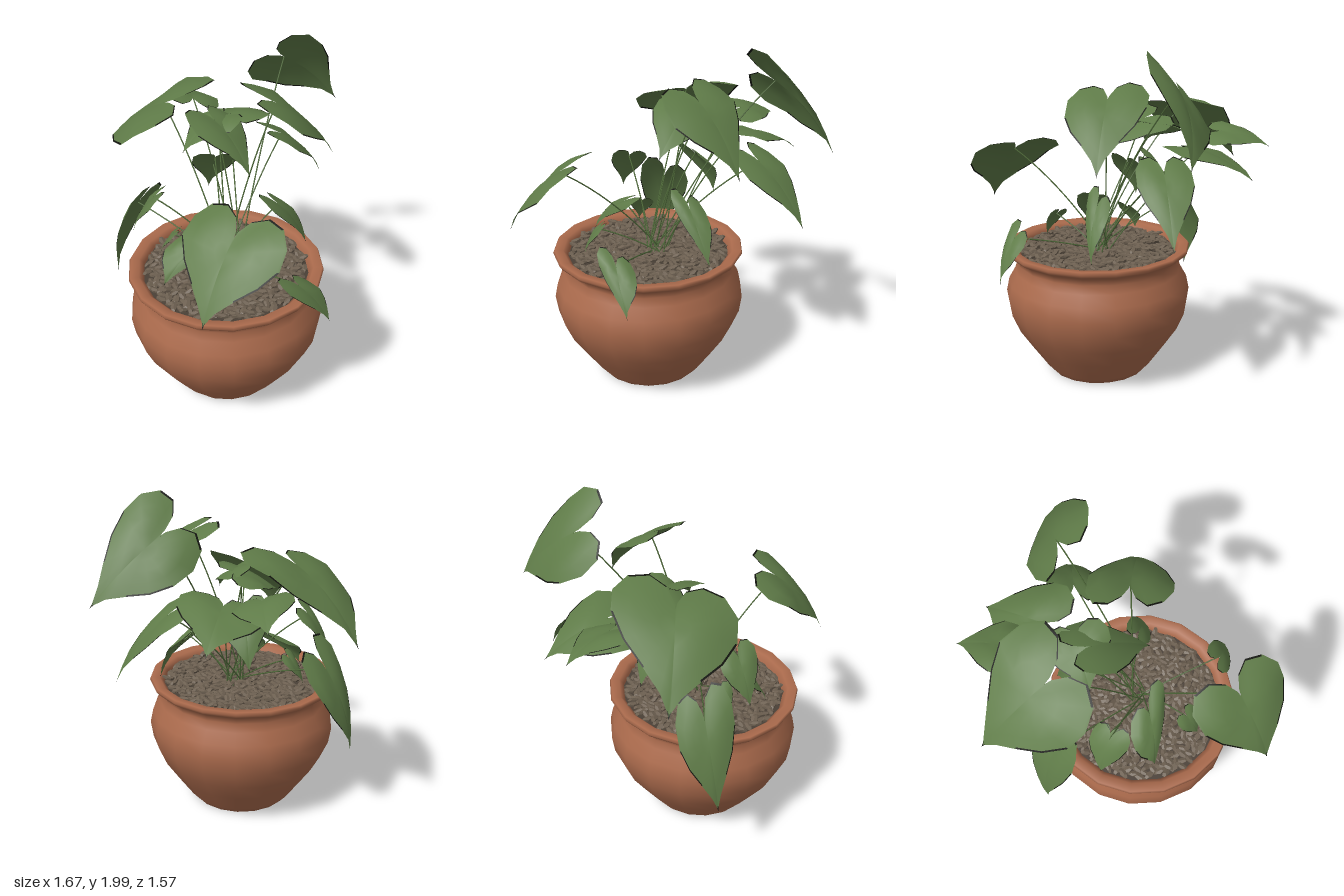
import * as THREE from 'three';
import { mergeGeometries } from 'three/addons/utils/BufferGeometryUtils.js';

const V = (a) => new THREE.Vector3(...a);
const POT = [0.107, 0, 0.222];

function seeded(seed) {
  return () => {
    seed = (seed * 16807) % 2147483647;
    return seed / 2147483647;
  };
}

// Heart outline: across (u) from -1 to 1, along (v) with notch at 0 and tip at 1
const OUTLINE = Array.from({ length: 22 }, (_, i) => {
  const t = i / 22 * Math.PI * 2;
  const y = 13 * Math.cos(t) - 5 * Math.cos(2 * t) - 2 * Math.cos(3 * t) - Math.cos(4 * t);
  return [Math.sin(t) ** 3, (5 - y) / 22];
});

// Heart leaf from notch to tip; side is the half width vector.
// Group 0 is the blade, group 1 the withered patches along its edge.
function leafGeometry(notch, tip, side) {
  const along = tip.clone().sub(notch);
  const normal = along.clone().cross(side).normalize();
  const flipped = normal.y > 0;
  if (!flipped) normal.negate();
  const len = along.length(), wid = side.length();
  const pos = [], blade = [], edge = [], n = OUTLINE.length;
  const rings = [0.25, 0.5, 0.75, 0.98, 1.015];
  const add = (u, v) => {
    const lift = len * 0.3 * v * (1 - v) - wid * 0.2 * u * u
      + wid * 0.1 * Math.abs(u) + wid * 0.08 * Math.sin(6 * v + 3 * u) * u;
    const p = notch.clone().addScaledVector(along, v).addScaledVector(side, u).addScaledVector(normal, lift);
    pos.push(p.x, p.y, p.z);
  };
  add(0, 0.2);
  for (const r of rings) {
    for (const [u, v] of OUTLINE) add(u * r, 0.2 + (v - 0.2) * r);
  }
  for (let i = 0; i < n; i++) {
    const j = (i + 1) % n;
    blade.push(0, 1 + i, 1 + j);
    for (let r = 0; r < rings.length - 1; r++) {
      const a = 1 + r * n + i, b = 1 + r * n + j;
      const withered = r === rings.length - 2 && i % 4 > 1;
      (withered ? edge : blade).push(a, a + n, b + n, a, b + n, b);
    }
  }
  // Keep the front of every face on the upper side
  if (flipped) {
    blade.reverse();
    edge.reverse();
  }
  const g = new THREE.BufferGeometry();
  g.setAttribute('position', new THREE.Float32BufferAttribute(pos, 3));
  g.setIndex([...blade, ...edge]);
  g.addGroup(0, blade.length, 0);
  g.addGroup(blade.length, edge.length, 1);
  g.computeVertexNormals();
  return g;
}

// Grown leaves: notch, tip, half width vector
const LEAVES = [
  [[-0.21, 1.79, -0.41], [-0.17, 1.45, -0.78], [0.17, 0.17, -0.07]],
  [[0.11, 1.71, -0.12], [0.23, 1.36, -0.43], [0.22, -0.02, 0.05]],
  [[-0.15, 1.57, 0.11], [0.17, 1.36, 0.1], [0.05, 0.04, 0.17]],
  [[-0.42, 1.61, 0.27], [-0.81, 1.26, 0.41], [0.1, -0.07, 0.3]],
  [[0.57, 1.35, 0.48], [0.69, 1.0, 0.75], [0.26, 0, -0.1]],
  [[-0.38, 1.43, -0.14], [-0.65, 1.28, -0.36], [0.16, 0.04, -0.18]],
  [[-0.15, 1.34, -0.36], [-0.13, 1.0, -0.65], [0.15, 0, 0.03]],
  [[-0.58, 1.5, -0.02], [-0.83, 1.42, -0.12], [-0.07, 0.04, 0.14]],
  [[-0.46, 1.0, 0.46], [-0.55, 0.5, 0.59], [0.09, 0.06, 0.12]],
  [[0.62, 0.9, 0.09], [0.72, 0.67, -0.04], [0.02, 0.04, 0.11]],
  [[0.11, 1.04, 0.39], [0.09, 0.81, 0.62], [0.12, 0.05, -0.12]],
  [[-0.21, 1.54, 0.05], [-0.2, 1.4, 0.29], [0.17, 0.03, 0]],
  [[0.17, 1.11, -0.1], [0.23, 0.82, -0.26], [0.04, 0.04, 0.09]],
].map((leaf) => leaf.map(V));

// Young leaves: notch and size, each hanging outward from the middle of the plant
const YOUNG = [
  [[-0.15, 1.22, 0.52], 0.23],
  [[-0.2, 1.3, 0.08], 0.28],
  [[0.33, 0.94, 0.42], 0.15],
  [[-0.13, 0.95, 0.42], 0.15],
].map(([at, size]) => {
  const notch = V(at);
  const out = new THREE.Vector3(notch.x - 0.1, 0, notch.z - 0.17).normalize();
  const tip = notch.clone().addScaledVector(out, size * 0.55);
  tip.y -= size;
  return [notch, tip, new THREE.Vector3(out.z, 0.2, -out.x).multiplyScalar(size * 0.48)];
});

export function createModel() {
  const model = new THREE.Group();
  const mat = (name, color, options = {}) => {
    const m = new THREE.MeshStandardMaterial({ color, ...options });
    m.name = name;
    return m;
  };
  const terracotta = mat('terracotta', 0xaa6a4c);
  const leafGreen = mat('leaf green', 0x5f7b48, { side: THREE.DoubleSide });
  const witheredEdge = mat('withered edge', 0x12140e, { side: THREE.DoubleSide });
  const stemGreen = mat('stem green', 0x506b3a);
  const pebbleBrown = mat('pebble brown', 0x6c5f50, { flatShading: true });
  const soilBrown = mat('soil brown', 0x4a4037);
  const part = (name, geometry, material, parent = model) => {
    const m = new THREE.Mesh(geometry, material);
    m.name = name;
    parent.add(m);
    return m;
  };

  // Pot with a flared rim and a hollow top
  const profile = [[0, 0], [0.3, 0.005], [0.33, 0.04], [0.42, 0.17], [0.5, 0.29], [0.547, 0.4], [0.562, 0.5],
    [0.545, 0.58], [0.505, 0.65], [0.488, 0.7], [0.5, 0.74], [0.545, 0.765], [0.558, 0.785],
    [0.55, 0.8], [0.5, 0.795], [0.475, 0.77], [0.465, 0.7]].map(([x, y]) => new THREE.Vector2(x, y));
  const pot = part('pot', new THREE.LatheGeometry(profile, 18), terracotta);
  pot.position.set(...POT);

  // Soil bed under the pebbles
  const soil = part('soil', new THREE.CylinderGeometry(0.475, 0.465, 0.04, 18), soilBrown);
  soil.position.set(POT[0], 0.735, POT[2]);

  // Pebbles spread evenly over the soil
  const rand = seeded(77);
  const pebbles = [], count = 480;
  for (let i = 0; i < count; i++) {
    const r = 0.455 * Math.sqrt((i + 0.5) / count), a = i * 2.4;
    const g = new THREE.DodecahedronGeometry(1, 0);
    g.scale(0.034 + rand() * 0.012, 0.012, 0.016 + rand() * 0.006);
    g.rotateZ((rand() - 0.5) * 0.8);
    g.rotateY(rand() * Math.PI * 2);
    g.translate(POT[0] + r * Math.cos(a), 0.76 + rand() * 0.02, POT[2] + r * Math.sin(a));
    pebbles.push(g);
  }
  part('pebbles', mergeGeometries(pebbles), pebbleBrown);

  // Leaves, each on a thin stem that arches more the taller it is
  const leaves = new THREE.Group(), stems = new THREE.Group();
  leaves.name = 'leaves';
  stems.name = 'stems';
  model.add(leaves, stems);
  [...LEAVES, ...YOUNG].forEach(([notch, tip, side], i) => {
    part('leaf', leafGeometry(notch, tip, side), [leafGreen, witheredEdge], leaves);
    const root = new THREE.Vector3(0.1 + 0.05 * Math.cos(i * 2.4), 0.75, 0.17 + 0.05 * Math.sin(i * 2.4));
    const bend = root.clone().lerp(notch, 0.5);
    bend.y += 0.18 * (notch.y - root.y);
    const curve = new THREE.QuadraticBezierCurve3(root, bend, notch);
    part('stem', new THREE.TubeGeometry(curve, 12, 0.004, 5), stemGreen, stems);
  });

  return model;
}
